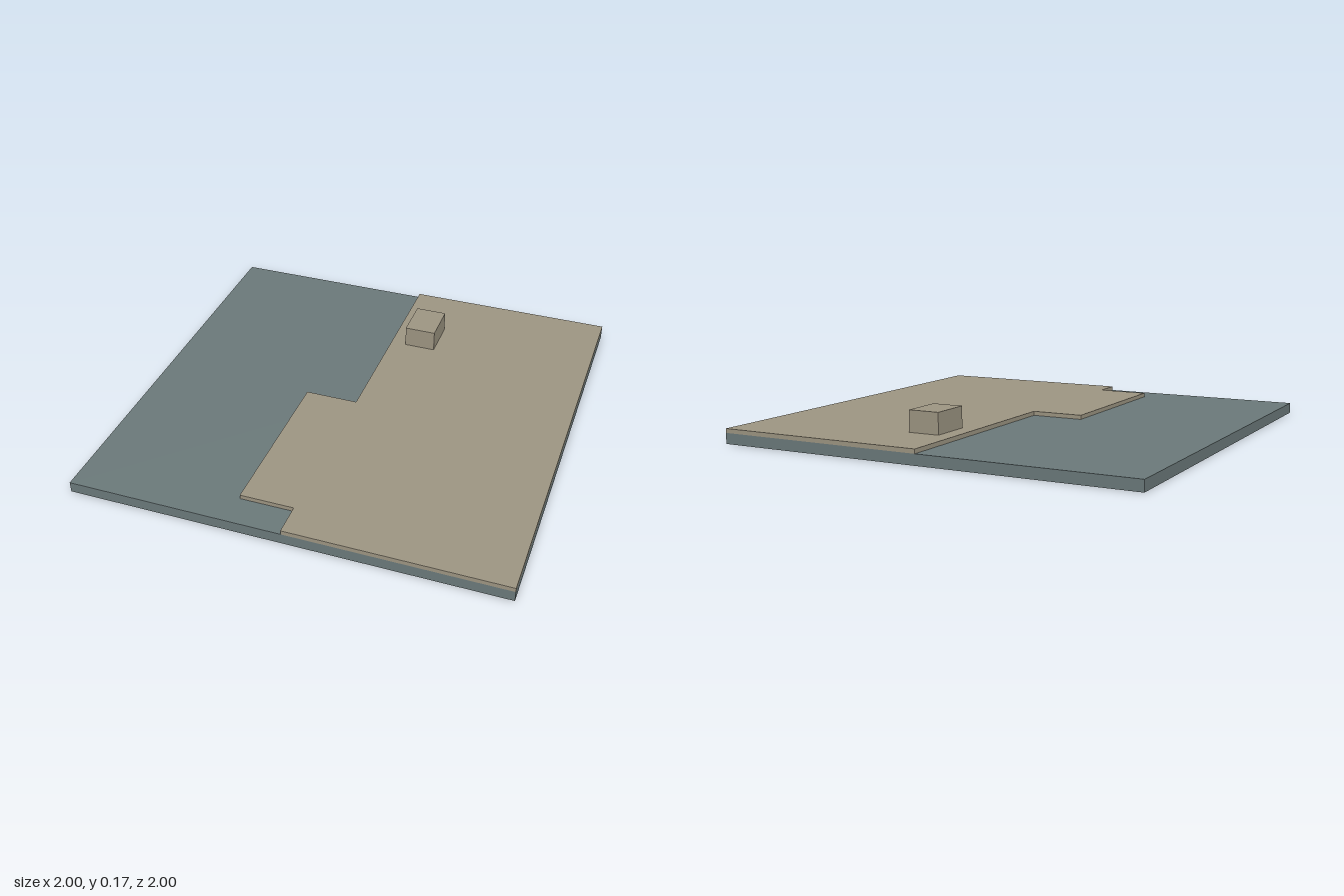
import * as THREE from 'three';

const slate = new THREE.MeshStandardMaterial({ color: 0x6c7a7b });
slate.name = 'slate';
const sandstone = new THREE.MeshStandardMaterial({ color: 0x9e9683 });
sandstone.name = 'sandstone';

// Box given by its minimum and maximum corners
function block(name, material, min, max) {
  const size = max.map((v, i) => v - min[i]);
  const mesh = new THREE.Mesh(new THREE.BoxGeometry(...size), material);
  mesh.position.set(...max.map((v, i) => (v + min[i]) / 2));
  mesh.name = name;
  return mesh;
}

export function createModel() {
  const model = new THREE.Group();
  model.name = 'steppedPlatform';

  // Full square base
  model.add(block('baseSlab', slate, [-1, 0, -1], [1, 0.05, 1]));

  // Raised paving over the left half, with a tab reaching out over the base
  const outline = [
    [0, -1], [1, -1], [1, 1], [0, 1],
    [0, 0.85], [-0.25, 0.85], [-0.25, 0.05], [0, 0.05],
  ];
  const shape = new THREE.Shape(outline.map(([x, z]) => new THREE.Vector2(x, -z)));
  const geometry = new THREE.ExtrudeGeometry(shape, { depth: 0.02, bevelEnabled: false });
  geometry.rotateX(-Math.PI / 2);
  const paving = new THREE.Mesh(geometry, sandstone);
  paving.position.y = 0.05;
  paving.name = 'raisedPaving';
  model.add(paving);

  // Small block standing on the paving
  model.add(block('smallBlock', sandstone, [0.075, 0.07, -0.7], [0.225, 0.17, -0.5]));

  return model;
}
